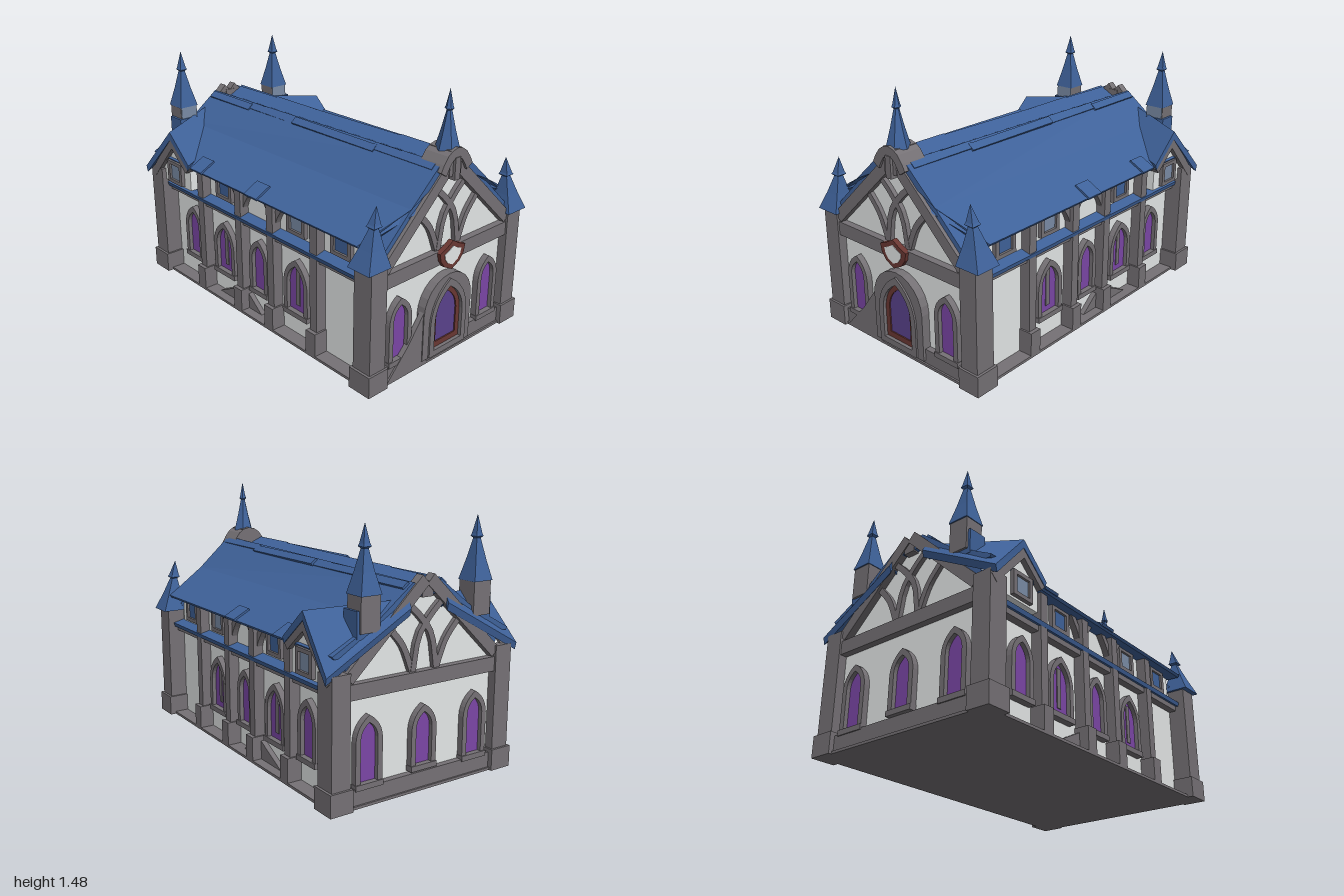
import * as THREE from 'three';

const mat = (name, color) => {
  const m = new THREE.MeshStandardMaterial({ color });
  m.name = name;
  return m;
};

export function createModel() {
  const plaster = mat('plaster', 0xe4e7e7), stone = mat('stone', 0x757175), slate = mat('roof slate', 0x3f629a);
  const purple = mat('purple glass', 0x7b46a6), violet = mat('door violet', 0x5a428c), wood = mat('red wood', 0x6a3732);
  const paleGlass = mat('pale glass', 0x7a8ca6);

  const model = new THREE.Group();
  model.name = 'chapel';
  const group = (name, parent) => {
    const g = new THREE.Group();
    g.name = name;
    parent.add(g);
    return g;
  };
  const add = (parent, name, geo, m, x = 0, y = 0, z = 0) => {
    const mesh = new THREE.Mesh(geo, m);
    mesh.name = name;
    mesh.position.set(x, y, z);
    parent.add(mesh);
    return mesh;
  };
  const box = (p, name, m, w, h, d, x, y, z) => add(p, name, new THREE.BoxGeometry(w, h, d), m, x, y, z);
  const extrude = (shape, depth) => new THREE.ExtrudeGeometry(shape, { depth, bevelEnabled: false, curveSegments: 6 });
  const poly = (pts) => new THREE.Shape(pts.map(([x, y]) => new THREE.Vector2(x, y)));
  // Closed outline from a half profile mirrored in x
  const mirrored = (half) => poly([...half, ...half.slice().reverse().filter(([x]) => x > 0).map(([x, y]) => [-x, y])]);

  // Pointed-arch outline
  const lancet = (w, y0, y1, Type = THREE.Shape) => {
    const s = new Type(), h = w / 2, spring = y1 - w * 0.8;
    s.moveTo(-h, y0);
    s.lineTo(h, y0);
    s.lineTo(h, spring);
    s.quadraticCurveTo(h * 0.95, y1 - w * 0.28, 0, y1);
    s.quadraticCurveTo(-h * 0.95, y1 - w * 0.28, -h, spring);
    s.closePath();
    return s;
  };
  const frame = (w, y0, y1, t, depth) => {
    const s = lancet(w, y0, y1);
    s.holes.push(lancet(w - 2 * t, y0 + t, y1 - t * 1.3, THREE.Path));
    return extrude(s, depth);
  };
  const archWindow = (p, x, z, w, y0, y1) => {
    const g = group('archedWindow', p);
    g.position.set(x, 0, z);
    add(g, 'windowFrame', frame(w, y0, y1, 0.03, 0.035), stone);
    add(g, 'windowGlass', extrude(lancet(w - 0.05, y0 + 0.025, y1 - 0.035), 0.008), purple, 0, 0, 0.003);
    box(g, 'windowSill', stone, w + 0.005, 0.03, 0.042, 0, y0 + 0.015, 0.021);
    return g;
  };
  // Timber of constant width following a path in the xy plane
  const timber = (p, name, pts, w, depth, z) => {
    const curve = new THREE.CatmullRomCurve3(pts.map(([x, y]) => new THREE.Vector3(x, y, 0)));
    const n = pts.length > 2 ? 8 : 1, a = [], b = [];
    for (let i = 0; i <= n; i++) {
      const c = curve.getPoint(i / n), t = curve.getTangent(i / n);
      a.push([c.x + t.y * w / 2, c.y - t.x * w / 2]);
      b.unshift([c.x - t.y * w / 2, c.y + t.x * w / 2]);
    }
    return add(p, name, extrude(poly([...a, ...b]), depth), stone, 0, 0, z);
  };
  // Spire with a flared finial
  const spire = (p, name, x, y, z, r, h, sides, lean = 0) => {
    const k = sides === 4 ? Math.SQRT2 : 1;
    const pts = [[0, 0], [r, 0], [r * 0.58, h * 0.32], [r * 0.22, h * 0.64], [r * 0.38, h * 0.67], [r * 0.3, h * 0.71], [0, h]];
    let g = new THREE.LatheGeometry(pts.map(([a, b]) => new THREE.Vector2(a * k, b)), sides);
    g.rotateY(Math.PI / sides);
    const v = g.attributes.position;
    for (let i = 0; i < v.count; i++) v.setX(i, v.getX(i) + lean * v.getY(i) / h);
    g = g.toNonIndexed();
    g.computeVertexNormals();
    return add(p, name, g, slate, x, y, z);
  };

  // Body and floor
  add(model, 'body', extrude(mirrored([[0, 0.01], [0.48, 0.01], [0.48, 0.68], [0.09, 1.03], [0, 1.03]]), 1.86), plaster, 0, 0, -0.93);
  box(model, 'floor', stone, 1.13, 0.015, 1.95, 0, 0.0075, 0);

  // Main roof: twin ridges with a shallow valley, flared eaves cut back at the front, sinking towards the back
  const roof = extrude(mirrored([[0, 1.03], [0.05, 1.04], [0.28, 0.9], [0.46, 0.78], [0.56, 0.775], [0.57, 0.79], [0.3, 0.935], [0.09, 1.11], [0, 1.07]]), 1.92);
  roof.translate(0, 0, -0.96);
  const rv = roof.attributes.position;
  for (let i = 0; i < rv.count; i++) {
    if (rv.getY(i) > 1) rv.setY(i, rv.getY(i) + 0.015 * rv.getZ(i));
    if (Math.abs(rv.getX(i)) > 0.4 && rv.getZ(i) > 0) rv.setZ(i, 0.86);
  }
  roof.computeVertexNormals();
  add(model, 'mainRoof', roof, slate);

  // Shared timbering of both gable ends, facing local +z
  const gable = (name) => {
    const g = group(name, model);
    box(g, 'footing', stone, 0.96, 0.1, 0.05, 0, 0.05, 0.94);
    box(g, 'crossBeam', stone, 0.98, 0.08, 0.05, 0, 0.6, 0.945);
    const verge = [[0.05, 1.08], [0.47, 0.68], [0.5, 0.73], [0.3, 0.92]];
    for (const s of [1, -1]) {
      add(g, 'roofVerge', extrude(poly(verge.map(([x, y]) => [s * x, y])), 0.1), slate, 0, 0, 0.85);
      timber(g, 'gableBeam', [[s * 0.015, 1.105], [s * 0.48, 0.665]], 0.065, 0.05, 0.92);
      timber(g, 'crossedBrace', [[-s * 0.1, 0.98], [-s * 0.035, 0.92], [s * 0.04, 0.82], [s * 0.075, 0.64]], 0.033, 0.03, 0.925);
      timber(g, 'sideBrace', [[s * 0.215, 0.87], [s * 0.14, 0.78], [s * 0.08, 0.64]], 0.033, 0.028, 0.925);
      archWindow(g, s * 0.35, 0.93, 0.165, 0.09, 0.47);
    }
    return g;
  };
  const front = gable('frontGable');
  const back = gable('backGable');
  back.rotation.y = Math.PI;
  archWindow(back, 0, 0.93, 0.165, 0.11, 0.46);
  box(back, 'apexBlock', stone, 0.07, 0.08, 0.05, 0, 1.055, 0.94);

  // Doorway with stone arch, wooden frame and sloping buttress
  const door = group('doorway', front);
  const arch = new THREE.Shape();
  arch.moveTo(0.19, 0.03);
  arch.lineTo(0.19, 0.3);
  arch.absarc(0, 0.3, 0.19, 0, Math.PI, false);
  arch.lineTo(-0.19, 0.03);
  arch.closePath();
  arch.holes.push(lancet(0.25, 0.05, 0.45, THREE.Path));
  add(door, 'doorArch', extrude(arch, 0.05), stone, 0, 0, 0.93);
  add(door, 'innerArch', frame(0.29, 0.035, 0.465, 0.035, 0.06), stone, 0, 0, 0.93);
  add(door, 'doorFrame', frame(0.23, 0.068, 0.43, 0.035, 0.035), wood, 0, 0, 0.935);
  add(door, 'doorPanel', extrude(lancet(0.18, 0.08, 0.4), 0.008), violet, 0, 0, 0.955);
  add(door, 'slopingButtress', extrude(poly([[-0.45, 0.01], [-0.15, 0.01], [-0.15, 0.37], [-0.3, 0.17]]), 0.03), stone, 0, 0, 0.945);

  // Shield above the door
  const shield = (k) => mirrored([[0, -0.08 * k], [0.06 * k, -0.05 * k], [0.09 * k, -0.01 * k], [0.1 * k, 0.035 * k], [0.05 * k, 0.055 * k], [0, 0.085 * k]]);
  add(front, 'shieldRim', extrude(shield(1), 0.03), wood, 0, 0.6, 0.96);
  add(front, 'shieldFace', extrude(shield(0.65), 0.008), plaster, 0, 0.6, 0.985);

  // Front apex stonework and spire
  timber(front, 'apexHood', [[-0.1, 1.07], [-0.055, 1.14], [0, 1.165], [0.055, 1.14], [0.1, 1.07]], 0.05, 0.15, 0.835);
  box(front, 'apexBlock', stone, 0.09, 0.14, 0.14, 0, 1.11, 0.905);
  box(front, 'keystone', stone, 0.04, 0.12, 0.05, 0, 1.08, 0.965);
  spire(front, 'centreSpire', 0, 1.17, 0.915, 0.065, 0.31, 6);

  // One long side, built for +x and mirrored
  for (const s of [1, -1]) {
    const side = group(s > 0 ? 'leftSide' : 'rightSide', model);
    side.scale.x = s;
    box(side, 'upperWall', plaster, 0.06, 0.2, 1.72, 0.455, 0.69, -0.02);
    box(side, 'sideBeam', stone, 0.05, 0.035, 1.8, 0.5, 0.575, 0);
    box(side, 'ledgeRoof', slate, 0.075, 0.025, 1.8, 0.51, 0.605, 0).rotation.z = -0.25;

    // Corner piers
    for (const z of [0.92, -0.92]) {
      box(side, 'cornerPier', stone, 0.11, 0.7, 0.12, 0.53, 0.35, z);
      box(side, 'pierBase', stone, 0.135, 0.12, 0.145, 0.532, 0.06, z);
    }
    spire(side, 'cornerSpire', 0.54, 0.69, 0.918, 0.076, 0.31, 4, -0.04);

    // Posts between the bays
    for (const z of [0.51, 0.15, -0.14, -0.51]) {
      box(side, 'sidePost', stone, 0.075, 0.78, 0.055, 0.505, 0.39, z);
      box(side, 'postBase', stone, 0.1, 0.15, 0.075, 0.515, 0.075, z);
    }

    // Wall fittings, drawn in a plane that faces +x (local x runs along -z)
    const wall = group('wallFittings', side);
    wall.rotation.y = Math.PI / 2;
    for (const [z, w] of [[0.33, 0.2], [0, 0.165], [-0.33, 0.2], [-0.65, 0.17]]) {
      const win = archWindow(wall, -z, 0.48, w, 0.145, 0.495);
      if (w === 0.2) box(win, 'mullion', stone, 0.03, 0.22, 0.012, 0, 0.32, 0.01);
    }
    for (const [z, m, x] of [[0.68, slate, 0.485], [0.33, paleGlass, 0.485], [-0.32, slate, 0.485], [-0.725, paleGlass, 0.555]]) {
      const ring = poly([[-0.075, -0.07], [0.075, -0.07], [0.075, 0.07], [-0.075, 0.07]]);
      ring.holes.push(poly([[-0.05, -0.048], [0.05, -0.048], [0.05, 0.048], [-0.05, 0.048]]));
      add(wall, 'squareFrame', extrude(ring, 0.025), stone, -z, 0.712, x);
      box(wall, 'squarePane', m, 0.11, 0.1, 0.008, -z, 0.712, x + 0.008);
    }
    for (const z of [0.15, -0.14]) for (const d of [1, -1])
      timber(wall, 'postBrace', [[-z, 0.64], [-z + d * 0.03, 0.71], [-z + d * 0.085, 0.79]], 0.033, 0.04, 0.48);
    add(wall, 'slopingFoot', extrude(poly([[-0.02, 0.01], [0.4, 0.01], [0.14, 0.14]]), 0.03), stone, 0, 0, 0.48);

    // Rear cross gable, its ridge running inwards and back, its rear corner flared outwards
    const dormer = group('crossGable', wall);
    const dg = extrude(poly([[0.55, 0.81], [0.56, 0.775], [0.735, 0.925], [0.975, 0.66], [0.985, 0.70], [0.735, 0.975]]), 0.5);
    dg.translate(0, 0, 0.12);
    const dv = dg.attributes.position;
    for (let i = 0; i < dv.count; i++) {
      const u = dv.getX(i), inward = 0.62 - dv.getZ(i), rear = u > 0.95;
      dv.setY(i, dv.getY(i) + inward * (rear ? 0.55 : 0.09));
      if (!rear) dv.setX(i, u + inward * 0.45);
      if (!rear && inward < 0.1) dv.setZ(i, 0.59);
    }
    dg.computeVertexNormals();
    add(dormer, 'crossGableRoof', dg, slate);
    add(dormer, 'crossGableWall', extrude(poly([[0.585, 0.63], [0.93, 0.63], [0.93, 0.70], [0.735, 0.91], [0.585, 0.78]]), 0.085), plaster, 0, 0, 0.472);
    timber(dormer, 'crossGableBeam', [[0.575, 0.765], [0.745, 0.91]], 0.04, 0.05, 0.537);
    timber(dormer, 'crossGableBeam', [[0.722, 0.915], [0.955, 0.655]], 0.05, 0.05, 0.537);

    // Rear turret
    box(side, 'turretBase', stone, 0.115, 0.18, 0.11, 0.36, 0.97, -0.92);
    box(side, 'turretSkirt', slate, 0.125, 0.14, 0.11, 0.37, 0.92, -0.908);
    box(side, 'turretFace', paleGlass, 0.11, 0.07, 0.006, 0.36, 1.025, -0.863);
    spire(side, 'turretSpire', 0.36, 1.06, -0.92, 0.062, 0.34, 4);

    // Uneven ridge boards and eave slates
    for (const [i, [z, l]] of [[0.72, 0.42], [0.2, 0.66], [-0.34, 0.42], [-0.74, 0.4]].entries())
      box(side, 'ridgeBoard', slate, 0.045, 0.02, l, 0.108 + (i % 2) * 0.012, 1.088 + 0.015 * z, z).rotation.z = -0.69;
    for (const z of [0.035, -0.49])
      box(side, 'eaveSlate', slate, 0.11, 0.016, 0.11, 0.53, 0.815, z).rotation.z = -0.49;
  }
  return model;
}
